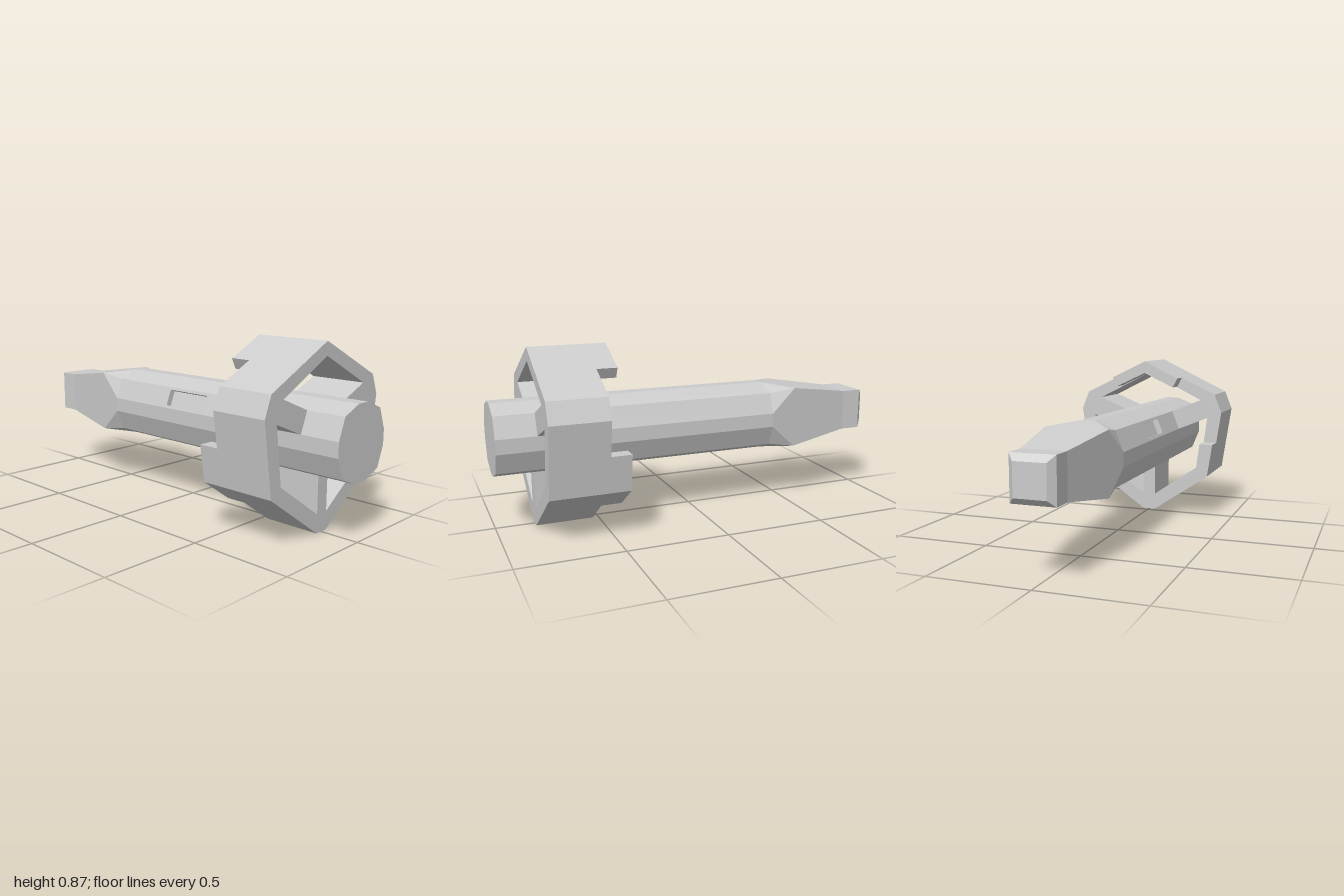
import * as THREE from 'three';

const CY = 0.445; // height of the shaft axis

function createMaterial() {
  return new THREE.MeshStandardMaterial({ color: 0xcccccc, flatShading: true });
}

function add(group, name, geometry, material) {
  const mesh = new THREE.Mesh(geometry, material);
  mesh.name = name;
  group.add(mesh);
  return mesh;
}

// Three points for the +x+y corner, turned by quarter turns into a 12-point ring
function ring(z, corner) {
  const pts = [];
  for (let q = 0; q < 4; q++) {
    for (let [x, y] of corner) {
      for (let k = 0; k < q; k++) [x, y] = [-y, x];
      pts.push(new THREE.Vector3(x, y + CY, z));
    }
  }
  return pts;
}

// Skin between rings ordered front to back, closed at both ends
function loft(rings, skip) {
  const pos = [];
  const tri = (a, b, c) => {
    const area = b.clone().sub(a).cross(c.clone().sub(a)).length();
    if (area > 1e-7) for (const p of [a, b, c]) pos.push(p.x, p.y, p.z);
  };
  const n = rings[0].length;
  for (let r = 0; r < rings.length - 1; r++) {
    const a = rings[r], b = rings[r + 1];
    for (let i = 0; i < n; i++) {
      if (skip(r, i)) continue;
      const j = (i + 1) % n;
      tri(b[i], b[j], a[j]);
      tri(b[i], a[j], a[i]);
    }
  }
  const first = rings[0], last = rings[rings.length - 1];
  for (let i = 1; i < n - 1; i++) {
    tri(first[0], first[i], first[i + 1]);
    tri(last[0], last[i + 1], last[i]);
  }
  const geo = new THREE.BufferGeometry();
  geo.setAttribute('position', new THREE.Float32BufferAttribute(pos, 3));
  geo.computeVertexNormals();
  return geo;
}

const vecs = (pts) => pts.map(([x, y]) => new THREE.Vector2(x, y));
const mirror = (pts) => pts.map(([x, y]) => [-x, y]).reverse();

function extrude(outline, holes, z0, z1) {
  const shape = new THREE.Shape(vecs(outline));
  for (const h of holes) shape.holes.push(new THREE.Path(vecs(h)));
  const geo = new THREE.ExtrudeGeometry(shape, { depth: z1 - z0, bevelEnabled: false });
  return geo.translate(0, 0, z0);
}

const rect = (x0, x1, y0, y1) => [[x0, y0], [x1, y0], [x1, y1], [x0, y1]];

export function createModel() {
  const model = new THREE.Group();
  const mat = createMaterial();

  // Shaft: twelve-sided, blending into a tapered square tip
  const round = [[0.175, 0.035], [0.135, 0.135], [0.035, 0.175]];
  const square = (h) => [[h, h], [h, h], [h, h]];
  const rings = [
    ring(1, round),
    ring(-0.4, round),
    ring(-0.535, square(0.155)),
    ring(-0.87, square(0.105)),
    ring(-0.97, square(0.105)),
    ring(-1, square(0.075)),
  ];
  // The facet between points 4 and 5 is replaced by the pocketed panel below
  add(model, 'shaft', loft(rings, (r, i) => r === 0 && i === 4), mat);

  // Facet with a shallow rectangular pocket
  const depth = 0.03;
  const normal = new THREE.Vector3(-0.1, 0.04, 0).normalize();
  const along = new THREE.Vector3(0, 0, 1);
  const across = normal.clone().cross(along);
  const panel = new THREE.Group();
  panel.name = 'pocketPanel';
  panel.quaternion.setFromRotationMatrix(new THREE.Matrix4().makeBasis(along, across, normal));
  panel.position.set(-0.155, CY + 0.085, 0).addScaledVector(normal, -depth);
  const w = Math.hypot(0.1, 0.04) / 2;
  add(panel, 'pocketRim',
    extrude(rect(-0.4, 1, -w, w), [rect(-0.02, 0.23, -0.04, 0.04)], 0, depth), mat);
  add(panel, 'pocketFloor', new THREE.PlaneGeometry(0.27, 0.09), mat)
    .position.set(0.105, 0, 0.001);
  model.add(panel);

  // Guard frame with three spokes; hole corners near the axis lie inside the shaft
  const half = [[0.035, 0], [0.368, 0.232], [0.42, 0.58], [0.38, 0.68]];
  const outline = [...half, [0, 0.865], ...mirror(half)];
  const topHalf = [[0.03, 0.6], [0.11, 0.57], [0.3, 0.648]];
  const topHole = [...topHalf, [0, 0.8], ...mirror(topHalf)];
  const sideHole = [
    [0.035, 0.09], [0.305, 0.275], [0.34, 0.548], [0.15, 0.47],
    [0.15, 0.42], [0.12, 0.33], [0.035, 0.29],
  ];
  add(model, 'guardFrame',
    extrude(outline, [topHole, sideHole, mirror(sideHole)], 0.53, 0.81), mat);

  // Lugs on the back of the frame
  const topLug = [[0.165, 0.722], [0.19, 0.7725]];
  add(model, 'topLug', extrude(
    [[0, 0.8], ...topLug, [0, 0.865], ...mirror(topLug)], [], 0.43, 0.53), mat);
  const sideLug = [
    [0.207, 0.12], [0.368, 0.232], [0.3946, 0.41],
    [0.322, 0.41], [0.305, 0.275], [0.166, 0.18],
  ];
  add(model, 'leftLug', extrude(sideLug, [], 0.43, 0.53), mat);
  add(model, 'rightLug', extrude(mirror(sideLug), [], 0.43, 0.53), mat);

  return model;
}
